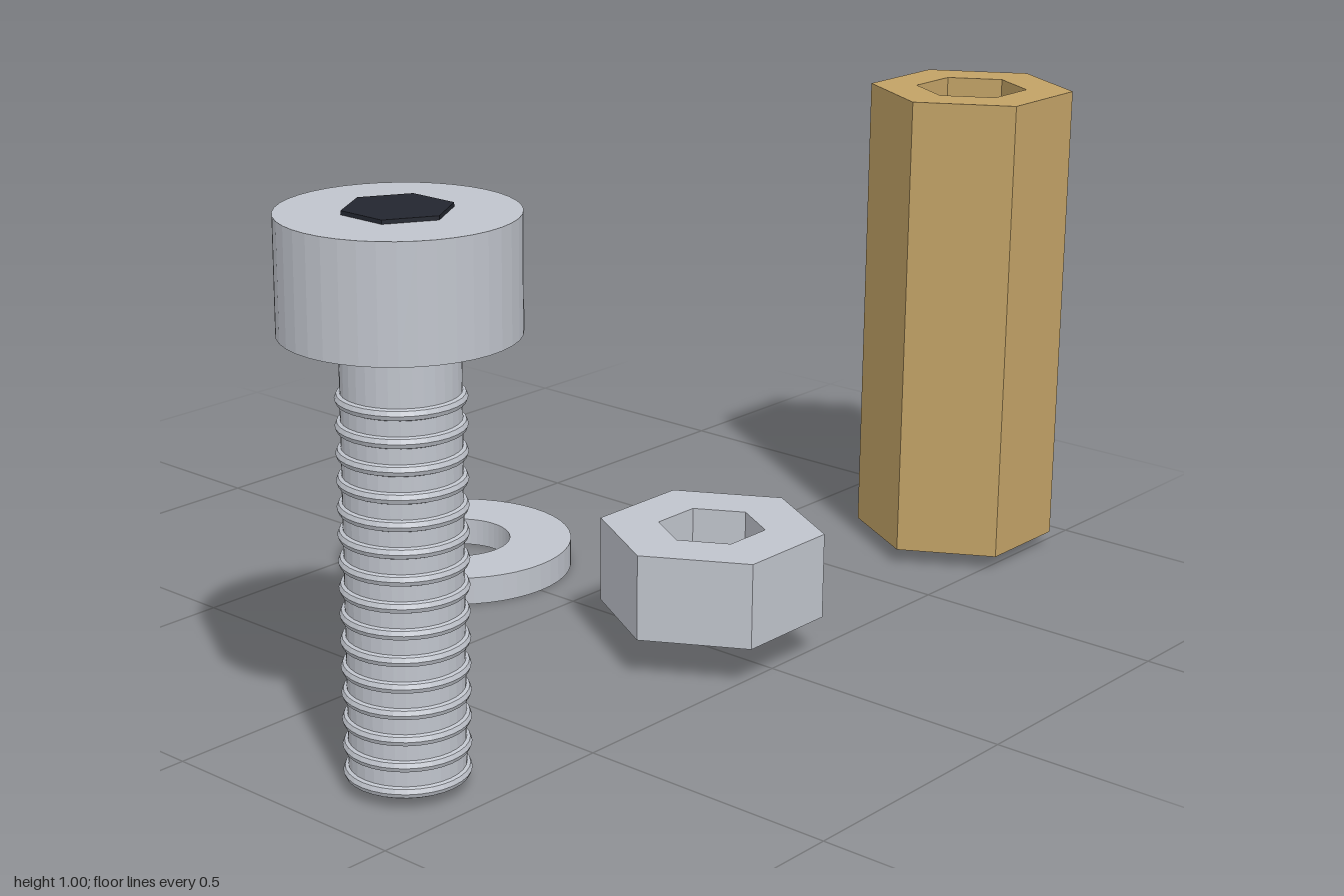
import * as THREE from 'three';

const steel = new THREE.MeshStandardMaterial({ color: 0xc0c4cc, flatShading: true });
const brass = new THREE.MeshStandardMaterial({ color: 0xc2a266, flatShading: true });
const dark = new THREE.MeshStandardMaterial({ color: 0x23262f, flatShading: true });

function add(parent, name, geometry, material, x, y, z) {
  const mesh = new THREE.Mesh(geometry, material);
  mesh.name = name;
  mesh.position.set(x, y, z);
  parent.add(mesh);
  return mesh;
}

// Upright cylinder or prism standing between two heights
function solid(parent, name, radius, y0, y1, sides, material) {
  return add(parent, name, new THREE.CylinderGeometry(radius, radius, y1 - y0, sides), material, 0, (y0 + y1) / 2, 0);
}

// Corner points of a regular polygon, first corner on +x
function polygon(radius, sides) {
  return Array.from({ length: sides }, (_, i) => {
    const a = (i / sides) * Math.PI * 2;
    return new THREE.Vector2(radius * Math.cos(a), radius * Math.sin(a));
  });
}

// Upright prism with a matching hole right through it
function hollowPrism(outer, inner, height, sides) {
  const shape = new THREE.Shape(polygon(outer, sides));
  shape.holes.push(new THREE.Path(polygon(inner, sides).reverse()));
  const geometry = new THREE.ExtrudeGeometry(shape, { depth: height, bevelEnabled: false });
  return geometry.rotateX(-Math.PI / 2);
}

export function createModel() {
  const model = new THREE.Group();
  model.name = 'fasteners';

  // Socket-head bolt
  const bolt = new THREE.Group();
  bolt.name = 'bolt';
  bolt.position.set(-0.8, 0, 0.35);
  model.add(bolt);
  solid(bolt, 'boltHead', 0.2, 0.795, 0.995, 40, steel);
  solid(bolt, 'boltShank', 0.1, 0.02, 0.797, 32, steel);
  solid(bolt, 'hexSocket', 0.093, 0.975, 1.002, 6, dark);

  // Thread ridges
  const ridge = new THREE.TorusGeometry(0.098, 0.011, 8, 32).rotateX(Math.PI / 2);
  for (let i = 0; i < 15; i++) {
    add(bolt, 'threadRidge', ridge, steel, 0, 0.031 + i * 0.0468, 0);
  }

  // Loose parts
  add(model, 'hexNut', hollowPrism(0.212, 0.101, 0.165, 6), steel, 0, 0.08, 0.35);
  add(model, 'washer', hollowPrism(0.233, 0.108, 0.055, 48), steel, 0, 0, -0.32);
  add(model, 'hexStandoff', hollowPrism(0.2, 0.109, 0.93, 6), brass, 0.8, 0.03, 0.35);

  return model;
}
